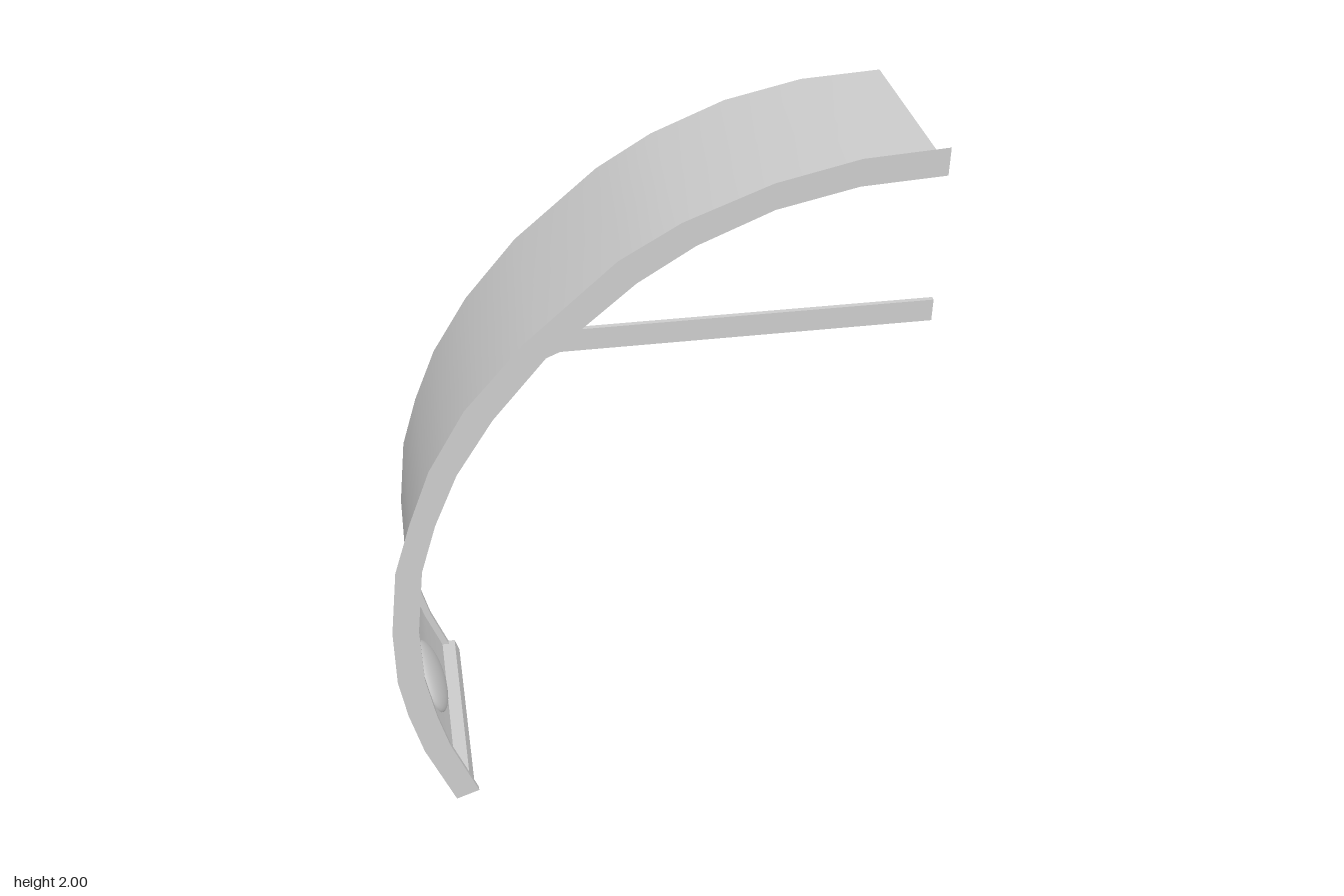
import * as THREE from 'three';

const FRONT = 0.3, BACK = 0.287, SHELL_BACK = -0.3;
const MID = -0.005; // centre of the recessed panel in z

// Arch profile from the top end down to the foot
const outer = [[0.71, 2], [0.495, 1.987], [0.285, 1.94], [0.065, 1.855], [-0.09, 1.765], [-0.325, 1.555],
  [-0.48, 1.375], [-0.58, 1.2], [-0.64, 1.04], [-0.69, 0.88], [-0.715, 0.67], [-0.715, 0.49],
  [-0.695, 0.36], [-0.66, 0.215], [-0.58, 0.005]];
const inner = [[0.71, 1.927], [0.495, 1.915], [0.29, 1.87], [0.1, 1.79], [-0.045, 1.7], [-0.27, 1.51],
  [-0.41, 1.34], [-0.51, 1.18], [-0.575, 1.025], [-0.62, 0.875], [-0.643, 0.67], [-0.64, 0.49],
  [-0.615, 0.345], [-0.585, 0.225], [-0.513, 0.03]];
const middle = inner.map((p, i) => p.map((v, k) => v + (outer[i][k] - v) * 0.28));

// x of a polyline at height y
function xAt(line, y) {
  let i = 0;
  while (i < line.length - 2 && line[i + 1][1] > y) i++;
  const [a, b] = [line[i], line[i + 1]];
  return a[0] + (b[0] - a[0]) * (a[1] - y) / (a[1] - b[1]);
}

// Surface through rows of equally many points
function surface(rows) {
  const n = rows[0].length, index = [];
  for (let r = 0; r < rows.length - 1; r++) {
    for (let c = 0; c < n - 1; c++) {
      const a = r * n + c;
      index.push(a, a + 1, a + n, a + 1, a + n + 1, a + n);
    }
  }
  const g = new THREE.BufferGeometry();
  g.setAttribute('position', new THREE.Float32BufferAttribute(rows.flat(2), 3));
  g.setIndex(index);
  g.computeVertexNormals();
  return g;
}

export function createModel() {
  const group = new THREE.Group();
  const flat = new THREE.MeshStandardMaterial({ color: 0xcccccc, flatShading: true });
  const smooth = new THREE.MeshStandardMaterial({ color: 0xcccccc, side: THREE.DoubleSide });
  const add = (name, geometry, material, parent = group) => {
    const mesh = new THREE.Mesh(geometry, material);
    mesh.name = name;
    parent.add(mesh);
    return mesh;
  };

  // Front rim with its cross beam: two faces and the inner walls, open outside and at the ends
  const rim = new THREE.Group();
  rim.name = 'frontRim';
  group.add(rim);
  const lowerChain = [...inner.slice(5).reverse(), [-0.235, 1.525], [0.71, 1.525]];
  const upperChain = [[0.71, 1.585], [-0.18, 1.585], ...inner.slice(0, 5).reverse()];
  const outline = [...outer, ...lowerChain, ...upperChain].map(p => new THREE.Vector2(...p));
  const face = new THREE.ShapeGeometry(new THREE.Shape(outline));
  add('rimFront', face, flat, rim).position.z = FRONT;
  const rear = face.clone();
  rear.setIndex(Array.from(face.index.array).reverse());
  rear.computeVertexNormals();
  add('rimBack', rear, flat, rim).position.z = BACK;
  for (const [name, chain] of [['rimLowerWall', lowerChain], ['rimUpperWall', upperChain]]) {
    add(name, surface(chain.map(([x, y]) => [[x, y, FRONT], [x, y, BACK]])), flat, rim);
  }

  // Heights and half widths of the round-topped panel, from its top down
  const R = 0.28, spring = 0.33, arch = [];
  for (let i = 0; i <= 12; i++) {
    const t = (i / 12) * Math.PI / 2;
    arch.push([spring + R * Math.cos(t), R * Math.sin(t)]);
  }
  for (const y of [0.28, 0.225, 0.15, 0.09]) arch.push([y, R]);
  const shellX = y => xAt(middle, y);
  const panelX = y => shellX(y) - 0.02;

  // Curved shell: full width above the panel, two side strips beside it
  const upper = middle.filter(p => p[1] > spring + R).concat([[shellX(spring + R), spring + R]]);
  add('shell', surface(upper.map(([x, y]) => [[x, y, BACK], [x, y, MID], [x, y, SHELL_BACK]])), smooth);
  const low = [...arch, [0.05, R]];
  for (const [side, edge] of [[1, BACK], [-1, SHELL_BACK]]) {
    add('shellSide', surface(low.map(([y, w]) => {
      const ends = [[shellX(y), y, edge], [shellX(y), y, MID + side * w]];
      return side > 0 ? ends : ends.reverse();
    })), smooth);
  }

  // Panel set outward from the shell, and the step around it
  add('recessedPanel', surface(arch.map(([y, w]) =>
    [1, 0, -1].map(s => [panelX(y), y, MID + s * w]))), smooth);
  for (const side of [1, -1]) {
    add('panelStep', surface(arch.map(([y, w]) =>
      [[shellX(y), y, MID + side * w], [panelX(y), y, MID + side * w]])), smooth);
  }

  // Shallow round knob on the panel
  const dome = new THREE.SphereGeometry(0.115, 28, 10, 0, Math.PI * 2, 0, Math.PI / 2);
  dome.rotateZ(-Math.PI / 2);
  dome.scale(0.3, 1, 1);
  const knob = add('knob', dome, smooth);
  knob.position.set(panelX(0.225) + 0.003, 0.225, 0);
  knob.rotation.z = 0.3;

  // Sill along the foot
  const sill = new THREE.Shape([[-0.598, 0.05], [-0.525, 0.05], [-0.538, 0.092], [-0.612, 0.092]]
    .map(p => new THREE.Vector2(...p)));
  const sillGeometry = new THREE.ExtrudeGeometry(sill, { depth: BACK - SHELL_BACK, bevelEnabled: false });
  add('sill', sillGeometry, flat).position.z = SHELL_BACK;

  return group;
}
